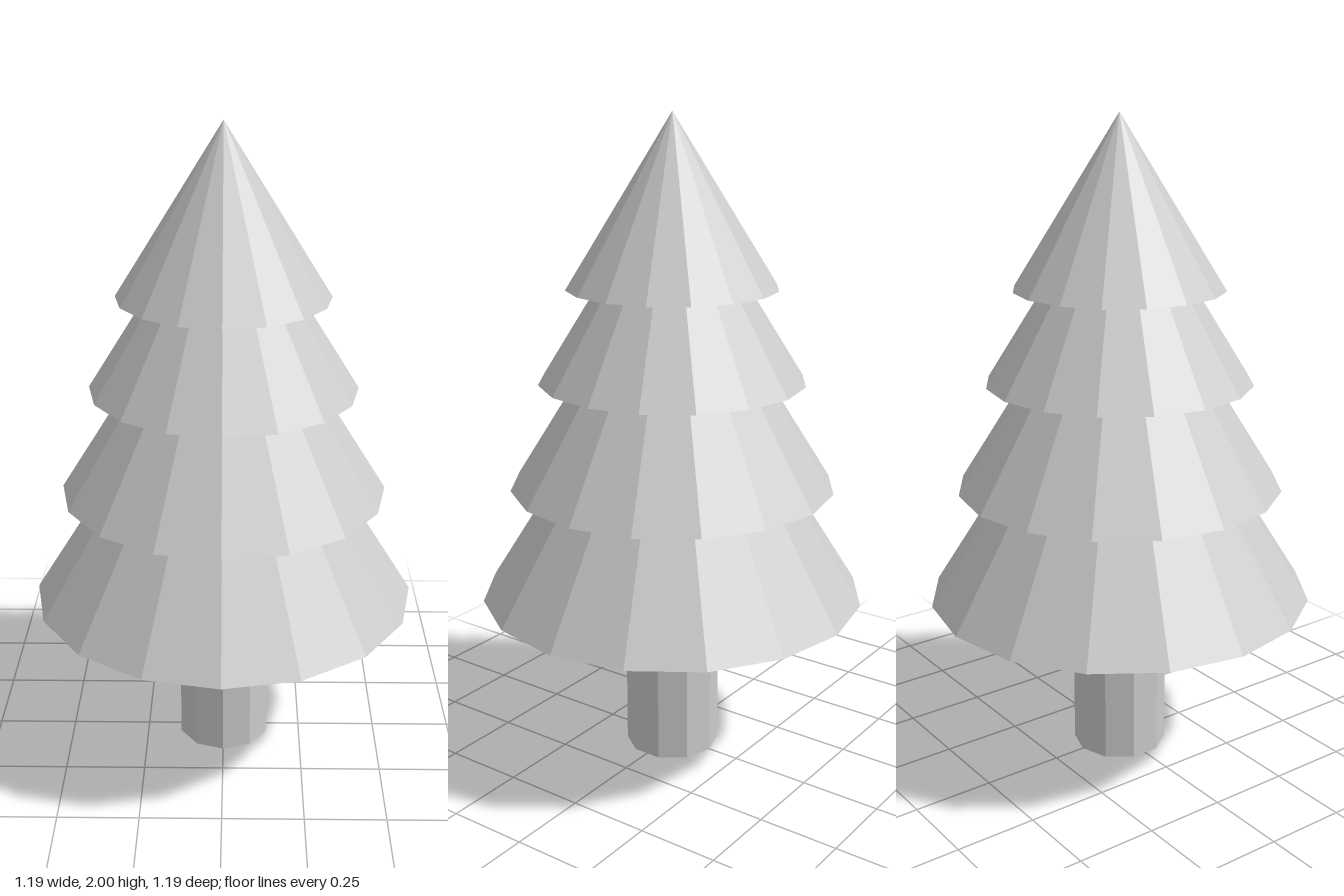
import * as THREE from 'three';

export function createModel() {
  const tree = new THREE.Group();
  tree.name = 'coniferTree';
  const material = new THREE.MeshStandardMaterial({ color: 0xcccccc, flatShading: true });
  material.name = 'lightGrey';

  const add = (name, geometry, y) => {
    const mesh = new THREE.Mesh(geometry, material);
    mesh.name = name;
    mesh.position.y = y;
    tree.add(mesh);
  };

  // Ten-sided trunk, reaching just inside the lowest tier
  const trunkHeight = 0.56;
  add('trunk', new THREE.CylinderGeometry(0.147, 0.147, trunkHeight, 10), trunkHeight / 2);

  // Stacked sixteen-sided cones sharing one slope: [radius, base height]
  const slope = 1.594;
  const tiers = [[0.595, 0.523], [0.5, 0.878], [0.407, 1.207], [0.32, 1.49]];
  tiers.forEach(([radius, base], i) => {
    const height = radius * slope;
    add(`foliageTier${i + 1}`, new THREE.ConeGeometry(radius, height, 16), base + height / 2);
  });

  return tree;
}
